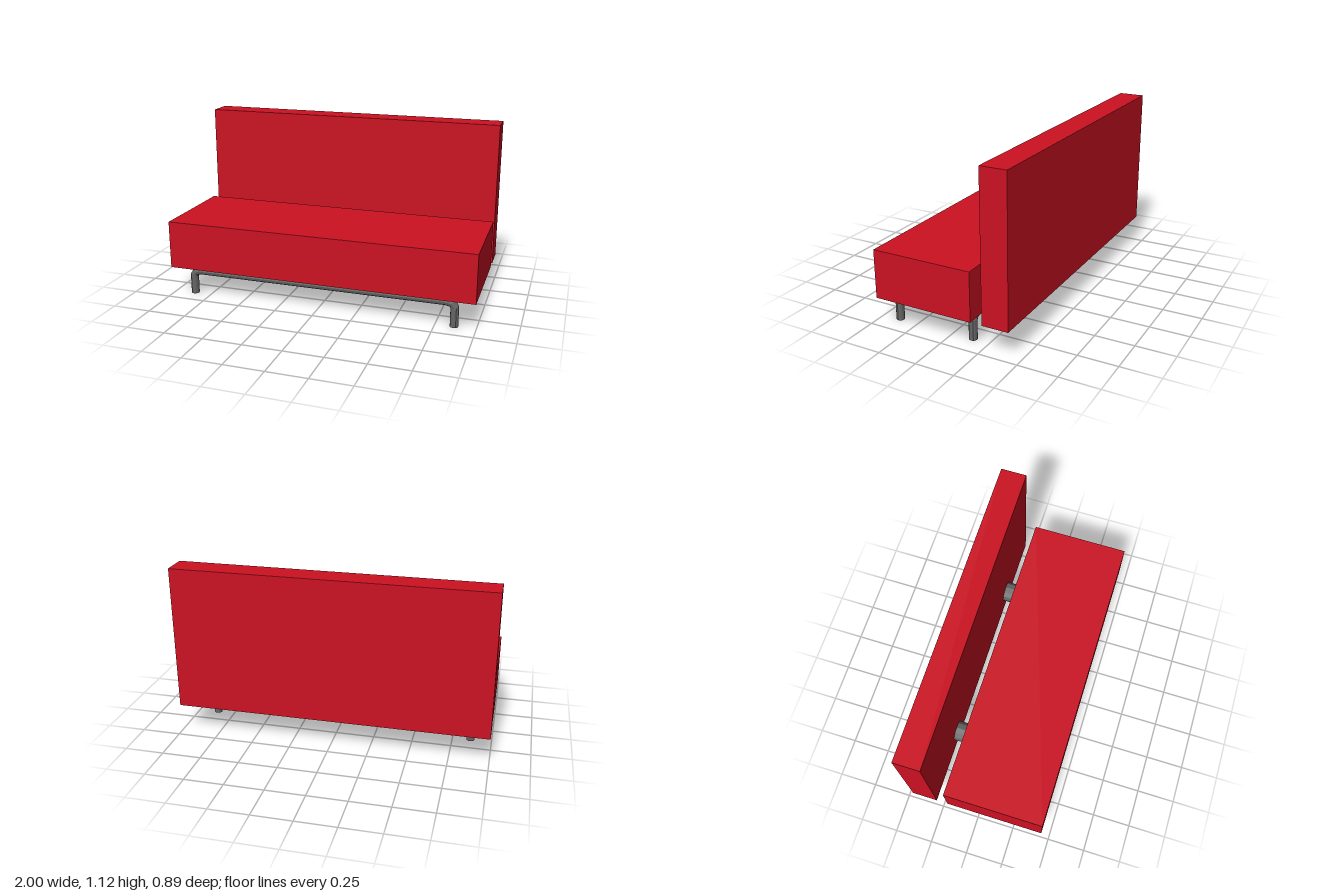
import * as THREE from 'three';

const red = new THREE.MeshStandardMaterial({ color: 0xcc1122 });
const steel = new THREE.MeshStandardMaterial({ color: 0x666666, flatShading: true });

// Box given by its lower and upper limits in y and z, spanning the full width
function cushion(name, y0, y1, z0, z1) {
  const mesh = new THREE.Mesh(new THREE.BoxGeometry(2, y1 - y0, z1 - z0), red);
  mesh.position.set(0, (y0 + y1) / 2, (z0 + z1) / 2);
  mesh.name = name;
  return mesh;
}

// Round bar following a path in the xy plane, mitred at each bend
function bentBar(path, radius) {
  const n = path.length - 1;
  const geo = new THREE.CylinderGeometry(radius, radius, 1, 12, n);
  const pos = geo.attributes.position;
  const dir = (i) => path[i + 1].clone().sub(path[i]).normalize();
  for (let v = 0; v < pos.count; v++) {
    const i = Math.round((0.5 - pos.getY(v)) * n);
    const a = dir(Math.max(i - 1, 0));
    const b = dir(Math.min(i, n - 1));
    const t = a.clone().add(b).normalize();
    const s = pos.getX(v) / t.dot(a);
    pos.setXY(v, path[i].x - t.y * s, path[i].y + t.x * s);
  }
  geo.computeVertexNormals();
  return geo;
}

export function createModel() {
  const group = new THREE.Group();
  group.name = 'sofa';

  // Seat and backrest
  group.add(cushion('seat', 0.186, 0.497, -0.205, 0.447));
  group.add(cushion('backrest', 0.186, 1.115, -0.447, -0.279));

  // Short round connectors between seat and backrest
  for (const x of [-0.54, 0.525]) {
    const geo = new THREE.CylinderGeometry(0.067, 0.067, 0.1, 12).rotateX(Math.PI / 2);
    const mesh = new THREE.Mesh(geo, steel);
    mesh.position.set(x, 0.344, -0.242);
    mesh.name = 'backConnector';
    group.add(mesh);
  }

  // Bent tube legs: left half of the path, then its mirror image
  const half = [[0.866, 0], [0.866, 0.125], [0.852, 0.15], [0.81, 0.159]];
  const left = half.map(([x, y]) => new THREE.Vector2(x, y));
  const right = half.map(([x, y]) => new THREE.Vector2(-x, y)).reverse();
  const path = [...right.reverse(), ...left.reverse()];
  const legGeo = bentBar(path, 0.026);
  for (const [name, z] of [['frontLegs', 0.38], ['rearLegs', -0.14]]) {
    const mesh = new THREE.Mesh(legGeo, steel);
    mesh.position.z = z;
    mesh.name = name;
    group.add(mesh);
  }
  return group;
}
